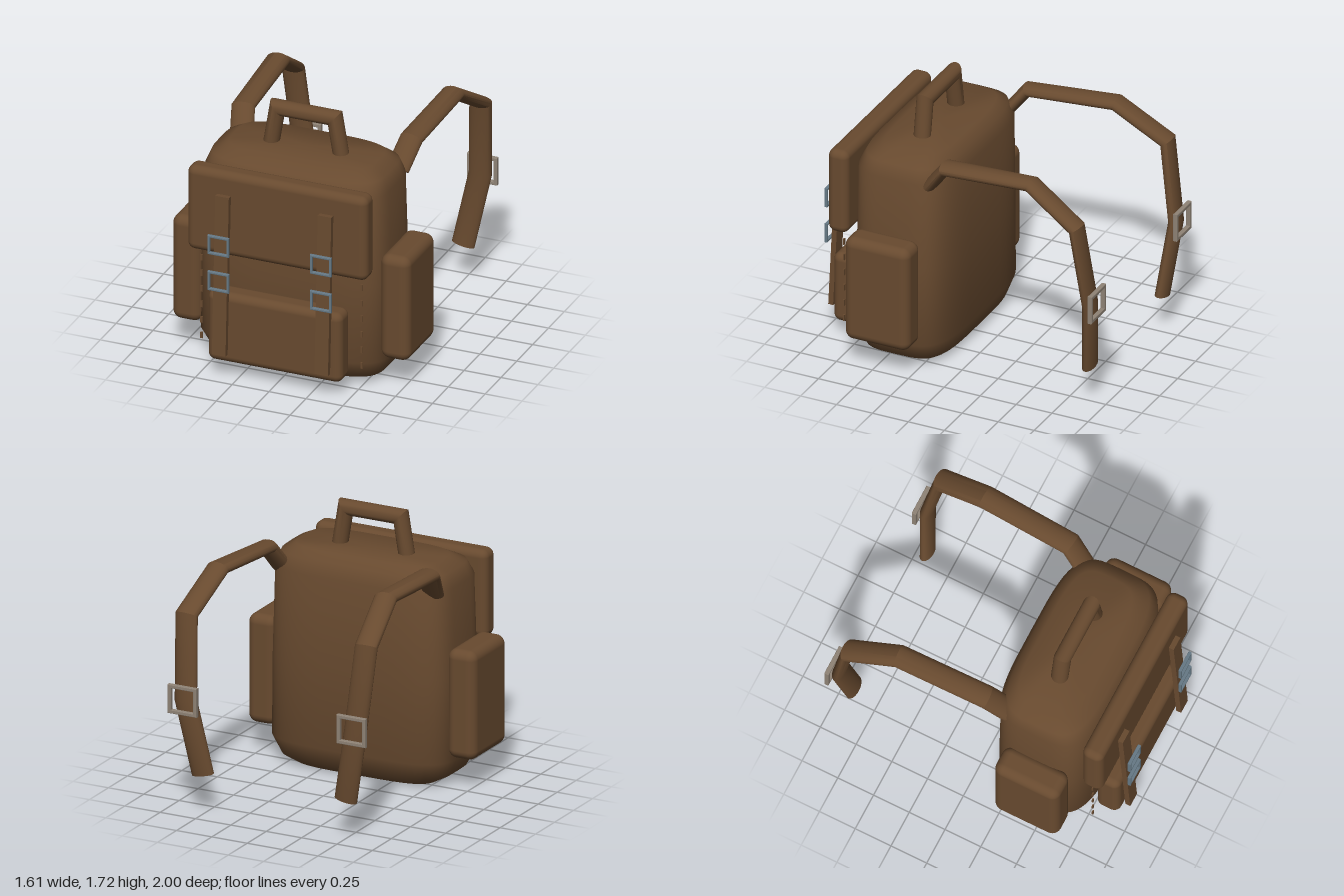
import * as THREE from 'three';
import { toCreasedNormals } from 'three/addons/utils/BufferGeometryUtils.js';
import { RoundedBoxGeometry } from 'three/addons/geometries/RoundedBoxGeometry.js';

const canvas = new THREE.MeshStandardMaterial({ name: 'brown canvas', color: 0x684a2f });
const steel = new THREE.MeshStandardMaterial({ name: 'blue steel', color: 0x667985 });
const nickel = new THREE.MeshStandardMaterial({ name: 'warm nickel', color: 0x8f8376 });

// Closed skin over rings of equal length, each running counter-clockwise about the path
function skin(rings, crease) {
  const m = rings[0].length, last = (rings.length - 1) * m;
  const points = rings.flat(), index = [];
  const centre = ring => ring.reduce((s, p) => s.add(p), new THREE.Vector3()).divideScalar(m);
  points.push(centre(rings[0]), centre(rings[rings.length - 1]));
  for (let j = 0; j < m; j++) {
    const k = (j + 1) % m;
    for (let i = 0; i < last; i += m) index.push(i + j, i + k, i + m + j, i + k, i + m + k, i + m + j);
    index.push(last + m, k, j, last + m + 1, last + j, last + k);
  }
  const g = new THREE.BufferGeometry().setFromPoints(points);
  g.setIndex(index);
  return toCreasedNormals(g, crease);
}

// Oval section swept along a bent path with mitred corners
function sweep(path, halfWidth, halfThick, widthAxis, sides = 20) {
  const pts = path.map(p => new THREE.Vector3(...p));
  const rings = pts.map((p, i) => {
    const out = pts[Math.min(i + 1, pts.length - 1)].clone().sub(pts[i]).normalize();
    const into = p.clone().sub(pts[Math.max(i - 1, 0)]).normalize();
    const t = into.clone().add(out).normalize();
    const stretch = 1 / Math.max(t.dot(i ? into : out), 0.5);
    const n = t.clone().cross(widthAxis).normalize();
    const s = n.clone().cross(t);
    return Array.from({ length: sides }, (_, j) => {
      const a = j / sides * Math.PI * 2;
      return p.clone().addScaledVector(s, halfWidth * Math.cos(a))
        .addScaledVector(n, halfThick * stretch * Math.sin(a));
    });
  });
  return skin(rings, 0.6);
}

// Soft squarish body lofted from superellipse sections
function bodyGeometry() {
  const levels = [ // y, half width, half depth, centre z
    [0, 0.49, 0.21, 0.4], [0.05, 0.58, 0.295, 0.425], [0.17, 0.64, 0.34, 0.43],
    [0.7, 0.635, 0.34, 0.43], [1.3, 0.615, 0.337, 0.427], [1.39, 0.58, 0.295, 0.42],
    [1.44, 0.49, 0.22, 0.4],
  ];
  const root = v => Math.sign(v) * Math.sqrt(Math.abs(v));
  return skin(levels.map(([y, w, d, z]) => Array.from({ length: 56 }, (_, j) => {
    const a = j / 56 * Math.PI * 2;
    return new THREE.Vector3(w * root(Math.sin(a)), y, z + d * root(Math.cos(a)));
  })), 1.0);
}

// Rectangular buckle frame with softened edges, centred on the origin
function buckleGeometry(w, h, bar, depth) {
  const bevel = 0.004;
  const rect = (Shape, a, b) => new Shape([
    [-a, -b], [a, -b], [a, b], [-a, b],
  ].map(p => new THREE.Vector2(...p)));
  const shape = rect(THREE.Shape, w / 2 - bevel, h / 2 - bevel);
  shape.holes.push(rect(THREE.Path, w / 2 - bar + bevel, h / 2 - bar + bevel));
  return new THREE.ExtrudeGeometry(shape, {
    depth: depth - 2 * bevel, bevelThickness: bevel, bevelSize: bevel, bevelSegments: 2,
  }).translate(0, 0, bevel - depth / 2);
}

export function createModel() {
  const model = new THREE.Group();
  model.name = 'backpack';
  const add = (name, geometry, material, x = 0, y = 0, z = 0) => {
    const mesh = new THREE.Mesh(geometry, material);
    mesh.name = name;
    mesh.position.set(x, y, z);
    model.add(mesh);
    return mesh;
  };

  // Main bag, flap and front pocket
  add('body', bodyGeometry(), canvas);
  add('flap', new RoundedBoxGeometry(1.22, 0.58, 0.14, 4, 0.05), canvas, 0, 1.11, 0.82);
  add('frontPocket', new RoundedBoxGeometry(0.91, 0.48, 0.16, 4, 0.05), canvas, 0, 0.34, 0.85);

  // Carry handle
  add('handle', sweep([
    [-0.235, 1.43, 0.41], [-0.195, 1.672, 0.41], [0.195, 1.672, 0.41], [0.235, 1.43, 0.41],
  ], 0.055, 0.051, new THREE.Vector3(0, 0, 1)), canvas);

  const xAxis = new THREE.Vector3(1, 0, 0);
  for (const [side, s] of [['left', 1], ['right', -1]]) {
    add(side + 'SidePocket', new RoundedBoxGeometry(0.2, 0.72, 0.45, 4, 0.06), canvas, s * 0.705, 0.56, 0.455);

    // Closing strap, leaning outward toward the bottom, with two buckles
    const strap = add(side + 'ClosingStrap', new THREE.BoxGeometry(0.092, 1.08, 0.034), canvas, s * 0.347, 0.715, 0.942);
    strap.rotation.x = -0.048;
    for (const y of [0.69, 0.94])
      add(side + 'Buckle', buckleGeometry(0.145, 0.132, 0.016, 0.022), steel, s * 0.347, y, 0.989);

    // Seam stitches
    for (let i = 0; i < 6; i++)
      add(side + 'Stitch', new THREE.BoxGeometry(0.015, 0.042, 0.009), canvas, s * 0.542, 0.197 + i * 0.108, 0.8);

    // Shoulder strap and its adjuster
    const path = [
      [0.53, 1.29, 0.2], [0.57, 1.452, 0.075], [0.592, 1.495, -0.53],
      [0.635, 1.285, -0.865], [0.6, 0.75, -0.94], [0.505, 0.26, -0.892],
    ].map(([x, y, z]) => [s * x, y, z]);
    add(side + 'ShoulderStrap', sweep(path, 0.077, 0.04, xAxis), canvas);
    add(side + 'Adjuster', buckleGeometry(0.205, 0.19, 0.024, 0.03), nickel, s * 0.597, 0.76, -0.985);
  }
  return model;
}
